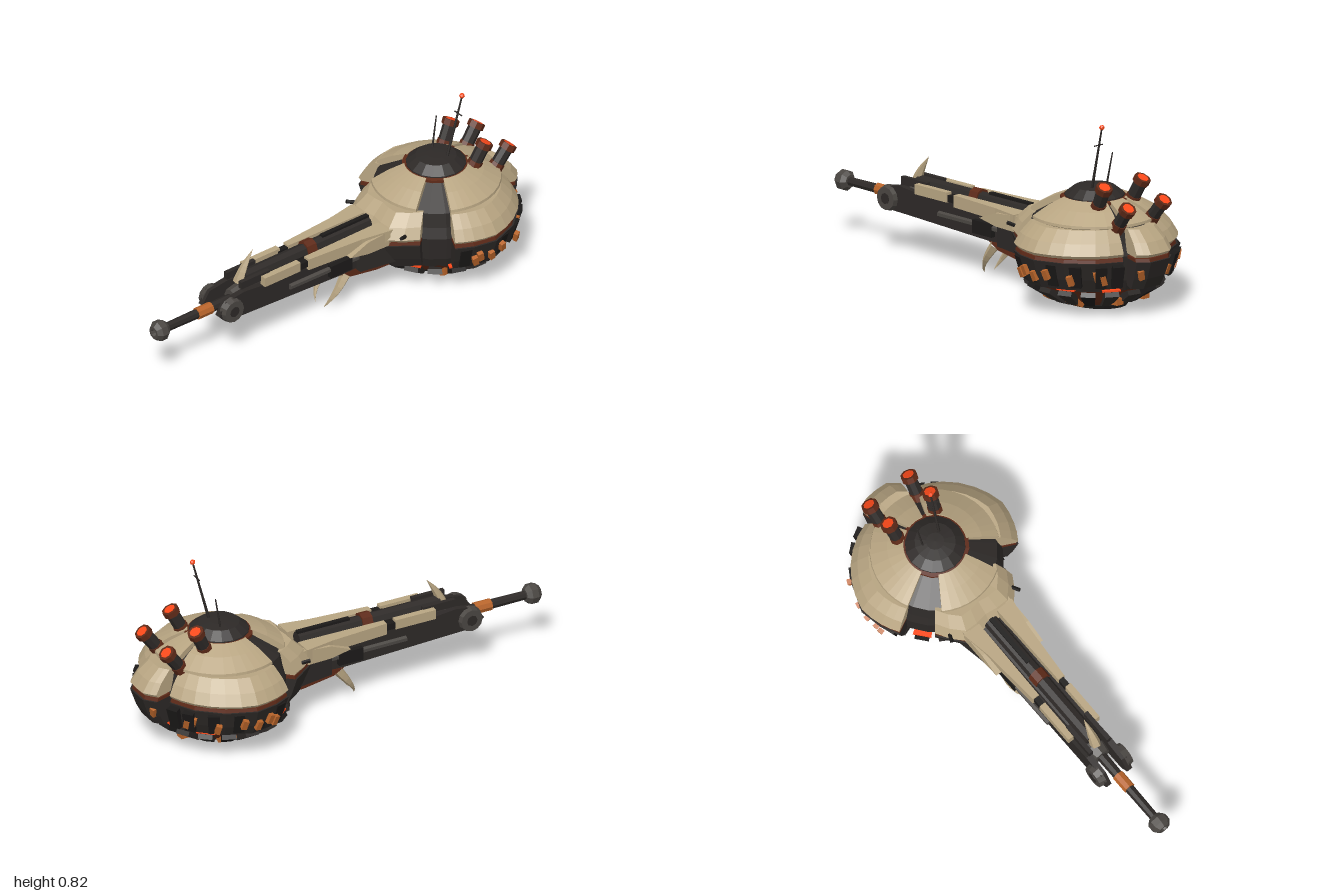
import * as THREE from 'three';

const CREAM = 0xb8a582, DARK = 0x2d2927, BLACK = 0x1c1a19, GREY = 0x4a4642;
const BROWN = 0x5e2a18, ORANGE = 0xb8642a, RED = 0xff4a1a;
const ZC = -0.585; // hull centre
const RAD = Math.PI / 180;

const mats = {};
const mat = (c) => (mats[c] ??= new THREE.MeshStandardMaterial({ color: c, flatShading: true }));

// Plan outlines of the hull sectors: [angle from the front, radius factor]
const SIDE = [[64, 0.95], [77, 0.98], [93, 1.01], [114, 0.965], [136, 0.925], [157, 0.885]];
const FRONT = [[-39, 0.88], [-18, 1.04], [0, 0.97], [18, 1.04], [39, 0.88]];
const BACK = [[164, 0.98], [172, 1.055], [188, 1.055], [196, 0.98]];
const MIRROR = SIDE.map(([a, f]) => [-a, f]).reverse();
const SECTORS = { leftHull: SIDE, rightHull: MIRROR, frontHull: FRONT, backHull: BACK };

function subdivide(outline, n) {
  const out = [];
  for (let i = 0; i < outline.length - 1; i++)
    for (let k = 0; k < n; k++) {
      const t = k / n, [a, f] = outline[i], [b, g] = outline[i + 1];
      out.push([a + (b - a) * t, f + (g - f) * t]);
    }
  return [...out, outline.at(-1)];
}

// Sweep a closed counter-clockwise profile [r, y] round the hull centre
function sweep(profile, outline) {
  const v = [], n = profile.length;
  const P = ([a, f], [r, y]) => [r * f * Math.sin(a * RAD), y, ZC + r * f * Math.cos(a * RAD)];
  for (let i = 0; i < outline.length - 1; i++)
    for (let j = 0; j < n; j++) {
      const a = P(outline[i], profile[j]), b = P(outline[i + 1], profile[j]);
      const c = P(outline[i + 1], profile[(j + 1) % n]), d = P(outline[i], profile[(j + 1) % n]);
      v.push(...a, ...b, ...c, ...a, ...c, ...d);
    }
  for (let j = 1; j < n - 1; j++) {
    v.push(...[0, j, j + 1].flatMap((k) => P(outline[0], profile[k])));
    v.push(...[0, j + 1, j].flatMap((k) => P(outline.at(-1), profile[k])));
  }
  const g = new THREE.BufferGeometry();
  g.setAttribute('position', new THREE.Float32BufferAttribute(v, 3));
  g.computeVertexNormals();
  return g;
}

// Tapered curved spike along a path
function horn(pts, r) {
  const path = new THREE.CatmullRomCurve3(pts.map((p) => new THREE.Vector3(...p)));
  const g = new THREE.TubeGeometry(path, 6, r, 5), p = g.attributes.position, q = new THREE.Vector3();
  for (let i = 0; i < p.count; i++) {
    const t = Math.floor(i / 6) / 6;
    q.fromBufferAttribute(p, i).lerp(path.getPointAt(t), Math.pow(t, 1.4));
    p.setXYZ(i, q.x, q.y, q.z);
  }
  return g;
}

const shape = (pts) => new THREE.Shape(pts.map((p) => new THREE.Vector2(...p)));
const extrude = (pts, depth) => new THREE.ExtrudeGeometry(shape(pts), { depth, bevelEnabled: false });
// Side outline [z, y] given width w about x; plan outline [x, z] given height h from y
const slab = (pts, x, w) => extrude(pts, w).rotateY(-Math.PI / 2).translate(x + w / 2, 0, 0);
const plan = (pts, y, h) => extrude(pts.map(([x, z]) => [x, -z]), h).rotateX(-Math.PI / 2).translate(0, y, 0);
const box = (w, h, d, x, y, z) => new THREE.BoxGeometry(w, h, d).translate(x, y, z);
const lathe = (pts, n) => new THREE.LatheGeometry(pts.map((p) => new THREE.Vector2(...p)), n);

// Cylinder between two points
function rod(a, b, r0, r1 = r0, n = 8) {
  const A = new THREE.Vector3(...a), d = new THREE.Vector3(...b).sub(A), len = d.length();
  const q = new THREE.Quaternion().setFromUnitVectors(new THREE.Vector3(0, 1, 0), d.normalize());
  return new THREE.CylinderGeometry(r1, r0, len, n).translate(0, len / 2, 0).applyQuaternion(q).translate(...a);
}

export function createModel() {
  const model = new THREE.Group();
  model.name = 'armedSaucerShip';
  let parent = model;
  const group = (name) => {
    parent = new THREE.Group();
    parent.name = name;
    model.add(parent);
  };
  const add = (name, color, geo) => {
    const m = new THREE.Mesh(geo, mat(color));
    m.name = name;
    parent.add(m);
    return m;
  };

  // Inner core and underside
  group('core');
  add('core', DARK, lathe([[0.27, 0.11], [0.29, 0.16], [0.3, 0.27], [0.285, 0.32], [0.272, 0.385], [0.13, 0.465]], 24).translate(0, 0, ZC));
  add('dome', DARK, lathe([[0.135, 0.465], [0.132, 0.485], [0.09, 0.518], [0.04, 0.524], [0, 0.525]], 16).translate(0, 0, ZC));
  add('domeCollar', BROWN, lathe([[0.15, 0.465], [0.15, 0.477], [0.12, 0.482]], 16).translate(0, 0, ZC));
  add('underside', BROWN, lathe([[0, 0.012], [0.13, 0.015], [0.2, 0.045], [0.275, 0.12]], 20).translate(0, 0, ZC));
  add('basePlate', BLACK, new THREE.CylinderGeometry(0.13, 0.125, 0.015, 20).scale(1, 1, 1.3).translate(0, 0.0075, ZC));

  // Armour sectors: belt, trim, lower plate, upper plate
  const belt = [[0.3, 0.14], [0.34, 0.13], [0.365, 0.18], [0.392, 0.26], [0.28, 0.262]];
  const trim = [[0.28, 0.258], [0.384, 0.258], [0.38, 0.275], [0.28, 0.275]];
  const lower = [[0.28, 0.285], [0.38, 0.28], [0.391, 0.294], [0.36, 0.342], [0.308, 0.392], [0.26, 0.388]];
  const upper = [[0.26, 0.385], [0.286, 0.396], [0.284, 0.408], [0.21, 0.452], [0.14, 0.482], [0.13, 0.465]];
  for (const [name, outline] of Object.entries(SECTORS)) {
    group(name);
    const fine = subdivide(outline, 2);
    const isFront = outline === FRONT;
    const flat = fine.map(([a]) => [a * (isFront ? 0.85 : 1), 1]);
    add('belt', DARK, sweep(belt, outline));
    add('beltTrim', BROWN, sweep(trim, outline));
    add('lowerPlate', CREAM, sweep(lower, fine));
    add('upperPlate', CREAM, sweep(upper, flat));
  }

  // Belt panels and lit windows
  group('beltDetails');
  for (const s of [1, -1]) {
    for (const a of [72, 88, 104, 122, 140, 152])
      add('beltPanel', BLACK, sweep([[0.34, 0.15], [0.362, 0.145], [0.394, 0.245], [0.36, 0.25]],
        [[s * a - 4, 0.96], [s * a + 4, 0.96]]));
    [78, 82, 91, 101, 119, 137, 142, 168].forEach((a, i) => {
      const w = add('window', ORANGE, new THREE.BoxGeometry(0.025, 0.045, 0.02));
      const r = 0.38 * (a > 130 && a < 160 ? 0.925 : 0.99);
      w.position.set(s * r * Math.sin(a * RAD), 0.185 + (i % 2) * 0.015, ZC + r * Math.cos(a * RAD));
      w.rotation.set(0.25, s * a * RAD, s * 0.25, 'YXZ');
    });
    // small vents on the armour
    add('vent', BLACK, rod([s * 0.175, 0.31, -0.27], [s * 0.19, 0.32, -0.235], 0.009, 0.009, 5));
  }

  // Underside ribs, glow strips and pods
  group('undersideDetails');
  for (let i = 0; i < 18; i++) {
    const a = i * 20 + 10;
    add('rib', i % 3 ? DARK : BLACK, sweep([[0.17, 0.025], [0.21, 0.03], [0.31, 0.095], [0.3, 0.115], [0.17, 0.06]], [[a - 6, 1], [a + 6, 1]]));
    if (i % 2) add('glowStrip', RED, sweep([[0.27, 0.115], [0.3, 0.115], [0.3, 0.123], [0.27, 0.123]], [[a - 8, 1], [a + 8, 1]]));
  }
  for (const s of [1, -1]) {
    add('pod', ORANGE, rod([s * 0.17, 0.055, -0.68], [s * 0.17, 0.055, -0.47], 0.036, 0.036, 6));
    add('podBand', DARK, rod([s * 0.17, 0.055, -0.6], [s * 0.17, 0.055, -0.56], 0.039, 0.039, 6));
    add('rearPod', ORANGE, box(0.04, 0.03, 0.07, s * 0.08, 0.055, -0.79));
  }

  // Four exhaust stacks
  group('stacks');
  for (const s of [1, -1])
    for (const [a, b] of [[[0.1, 0.43, -0.695], [0.117, 0.565, -0.765]], [[0.1, 0.37, -0.81], [0.11, 0.495, -0.905]]]) {
      const A = [s * a[0], a[1], a[2]], B = [s * b[0], b[1], b[2]];
      const at = (t) => A.map((v, i) => v + (B[i] - v) * t);
      add('stack', DARK, rod(A, B, 0.03, 0.03));
      add('stackFoot', BROWN, rod(at(0.1), at(0.4), 0.035, 0.033));
      add('stackCap', BROWN, rod(at(0.84), at(1.02), 0.038, 0.038));
      add('stackGlow', RED, rod(at(1), at(1.03), 0.026, 0.026));
    }

  // Antennas
  group('antennas');
  add('tallAntenna', DARK, rod([0.043, 0.51, -0.61], [0.055, 0.805, -0.685], 0.007, 0.004, 5));
  add('antennaBar', DARK, rod([0.03, 0.726, -0.665], [0.08, 0.726, -0.665], 0.003, 0.003, 5));
  add('antennaTip', RED, new THREE.IcosahedronGeometry(0.013).translate(0.055, 0.81, -0.686));
  add('shortAntenna', DARK, rod([-0.052, 0.51, -0.605], [-0.06, 0.667, -0.635], 0.005, 0.003, 5));

  // Long forward arm
  group('arm');
  add('armBarrel', DARK, rod([0, 0.25, -0.3], [0, 0.25, 0.53], 0.055, 0.048));
  add('topDuct', DARK, rod([0, 0.325, -0.2], [0, 0.325, 0.5], 0.034, 0.034));
  add('ductBand', BROWN, rod([0, 0.33, 0.11], [0, 0.33, 0.16], 0.04, 0.04));
  add('ductRail', BLACK, box(0.02, 0.012, 0.26, 0, 0.36, -0.07));
  add('muzzleRing', GREY, rod([0, 0.25, 0.52], [0, 0.25, 0.57], 0.05, 0.04));
  add('lowerKeel', BROWN, slab([[-0.42, 0.1], [-0.2, 0.11], [-0.05, 0.135], [0.02, 0.175], [-0.42, 0.2]], 0, 0.13));
  add('neck', DARK, plan([[-0.15, -0.35], [0.15, -0.35], [0.1, -0.08], [-0.1, -0.08]], 0.165, 0.12));
  add('gun', DARK, rod([0, 0.245, 0.55], [0, 0.245, 0.95], 0.024, 0.02));
  add('gunBand', ORANGE, rod([0, 0.245, 0.68], [0, 0.245, 0.76], 0.027, 0.027));
  add('gunTip', GREY, lathe([[0, -0.035], [0.03, -0.035], [0.047, -0.015], [0.047, 0.015], [0.03, 0.035], [0.018, 0.035], [0.014, 0.015], [0, 0.015]], 8)
    .rotateX(Math.PI / 2).translate(0, 0.245, 0.965));
  add('topSpike', CREAM, horn([[0, 0.31, 0.525], [0, 0.375, 0.495], [0, 0.452, 0.443]], 0.026));
  for (const s of [1, -1]) {
    add('sideFrame', DARK, slab([[-0.3, 0.18], [0, 0.17], [0.5, 0.19], [0.65, 0.195], [0.69, 0.235], [0.65, 0.295],
      [0.55, 0.31], [0.4, 0.295], [-0.1, 0.295], [-0.3, 0.26]], s * 0.058, 0.028));
    add('hubDisc', GREY, rod([s * 0.06, 0.245, 0.62], [s * 0.093, 0.245, 0.62], 0.06, 0.052, 12));
    add('hubCap', DARK, rod([s * 0.08, 0.245, 0.62], [s * 0.096, 0.245, 0.62], 0.025, 0.025, 8));
    add('frontArmPlate', CREAM, box(0.03, 0.045, 0.2, s * 0.072, 0.32, 0.345));
    add('rearArmPlate', CREAM, plan([[0.05, -0.22], [0.135, -0.22], [0.11, -0.08], [0.088, 0.2], [0.055, 0.2]].map(([x, z]) => [s * x, z]), 0.285, 0.055));
    add('plateHinge', BLACK, box(0.026, 0.03, 0.06, s * 0.07, 0.315, 0.225));
    add('armRail', DARK, box(0.02, 0.035, 0.16, s * 0.05, 0.335, 0.475));
    add('sidePiston', GREY, rod([s * 0.082, 0.235, -0.1], [s * 0.078, 0.235, 0.3], 0.014, 0.014, 6));
    add('armBlock', BLACK, box(0.03, 0.06, 0.12, s * 0.08, 0.225, 0.02));
    add('shoulder', CREAM, slab([[-0.28, 0.26], [-0.1, 0.265], [0.0, 0.285], [-0.1, 0.325], [-0.28, 0.34]], s * 0.115, 0.03));
    add('tusk', CREAM, horn([[s * 0.06, 0.155, -0.03], [s * 0.062, 0.09, 0.02], [s * 0.048, 0.04, 0.055], [s * 0.027, 0.004, 0.07]], 0.024));
  }
  return model;
}
